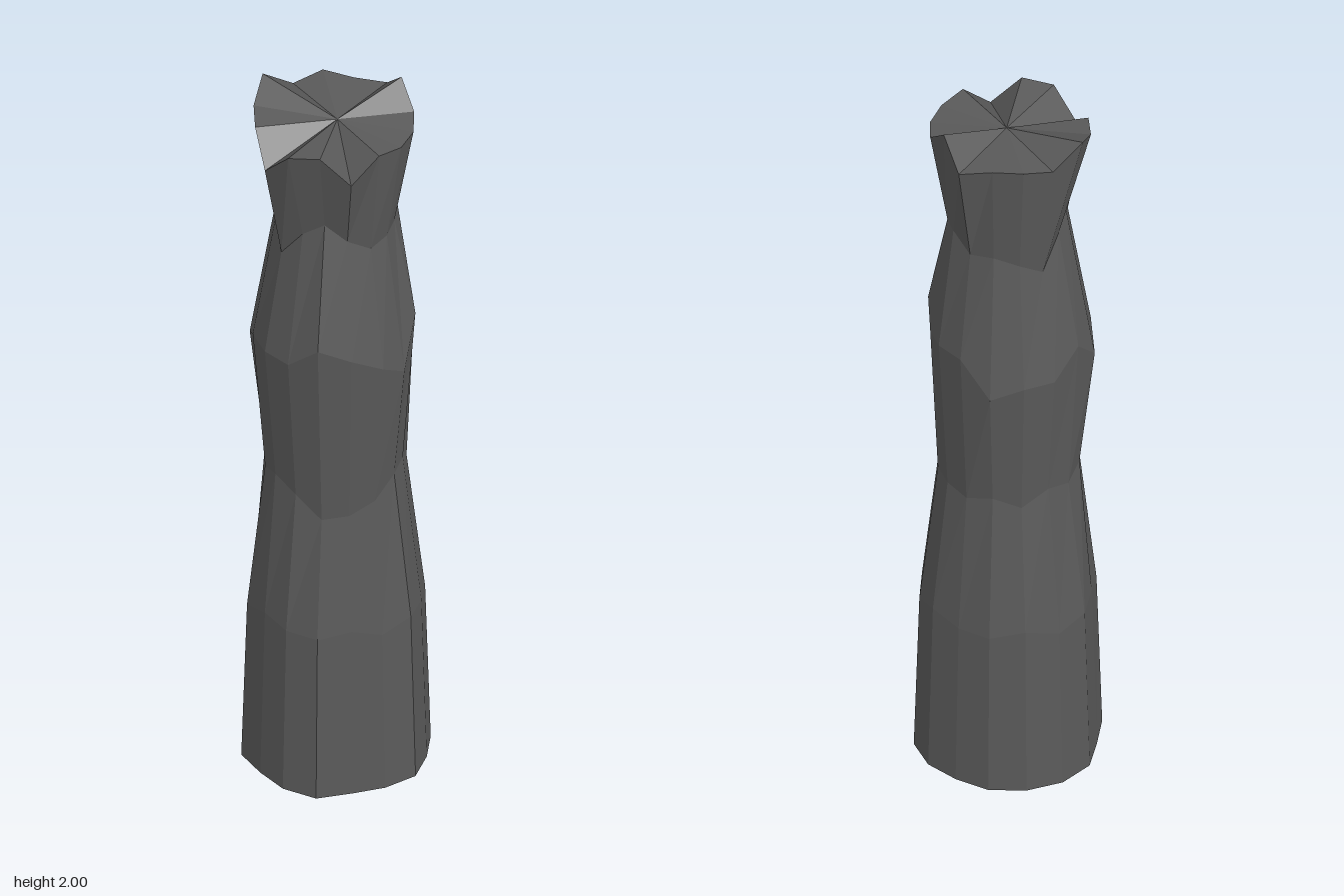
import * as THREE from 'three';

const SIDES = 16;

// radii and heights of each cross-section, starting at the front and turning towards +x
const baseRadii = [.25, .224, .23, .245, .235, .243, .243, .238, .25, .253, .257, .255, .236, .25, .234, .243];
const waistRadii = [.185, .18, .18, .178, .172, .18, .183, .187, .19, .19, .19, .19, .19, .188, .188, .186];
const waistHeights = [.82, .83, .86, .91, .92, .88, .88, .87, .89, .86, .9, .88, .9, .89, .91, .88];
const bulgeRadii = [.23, .215, .22, .21, .205, .2, .21, .215, .225, .22, .22, .22, .23, .22, .22, .22];
const bulgeHeights = [1.37, 1.33, 1.29, 1.24, 1.37, 1.32, 1.33, 1.33, 1.23, 1.26, 1.26, 1.33, 1.25, 1.3, 1.3, 1.3];
const neckRadii = [.15, .15, .16, .155, .15, .155, .165, .17, .175, .17, .165, .16, .155, .16, .17, .155];
const neckHeights = [1.71, 1.66, 1.63, 1.64, 1.65, 1.67, 1.68, 1.64, 1.65, 1.62, 1.58, 1.67, 1.7, 1.66, 1.59, 1.67];
const rimRadii = [.205, .207, .2, .2, .2, .2, .195, .223, .195, .215, .212, .234, .22, .214, .22, .22];
const rimHeights = [1.95, 1.87, 1.94, 1.93, 1.93, 1.94, 2, 1.93, 1.94, 1.95, 1.93, 1.99, 1.95, 1.94, 1.86, 1.94];

function ring(radii, heights) {
  return radii.map((r, i) => {
    const a = (i / SIDES) * Math.PI * 2;
    return new THREE.Vector3(r * Math.sin(a), heights[i], r * Math.cos(a));
  });
}

function facets(triangles) {
  const geometry = new THREE.BufferGeometry().setFromPoints(triangles);
  geometry.computeVertexNormals();
  return geometry;
}

// faceted wall joining consecutive rings
function wall(rings) {
  const t = [];
  for (let j = 0; j < rings.length - 1; j++) {
    for (let i = 0; i < SIDES; i++) {
      const k = (i + 1) % SIDES;
      const [lo, hi] = [rings[j], rings[j + 1]];
      t.push(lo[i], lo[k], hi[k], lo[i], hi[k], hi[i]);
    }
  }
  return facets(t);
}

// fan closing a ring
function cap(points, height, up) {
  const centre = new THREE.Vector3(0, height, 0);
  const t = [];
  points.forEach((p, i) => {
    const q = points[(i + 1) % SIDES];
    t.push(centre, up ? p : q, up ? q : p);
  });
  return facets(t);
}

export function createModel() {
  const group = new THREE.Group();
  group.name = 'stonePillar';
  const stone = new THREE.MeshStandardMaterial({ color: 0x5a5a5a, flatShading: true });
  stone.name = 'dark grey stone';

  const rings = [
    ring(baseRadii, baseRadii.map(() => 0)),
    ring(baseRadii.map((r) => r * 0.94), baseRadii.map((r, i) => 0.48 + 0.015 * Math.sin(i * 2.3))),
    ring(waistRadii, waistHeights),
    ring(bulgeRadii, bulgeHeights),
    ring(neckRadii, neckHeights),
    ring(rimRadii, rimHeights),
  ];

  const add = (name, geometry) => {
    const mesh = new THREE.Mesh(geometry, stone);
    mesh.name = name;
    group.add(mesh);
  };
  add('shaft', wall(rings));
  add('brokenTop', cap(rings[5], 1.94, true));
  add('underside', cap(rings[0], 0, false));
  return group;
}
